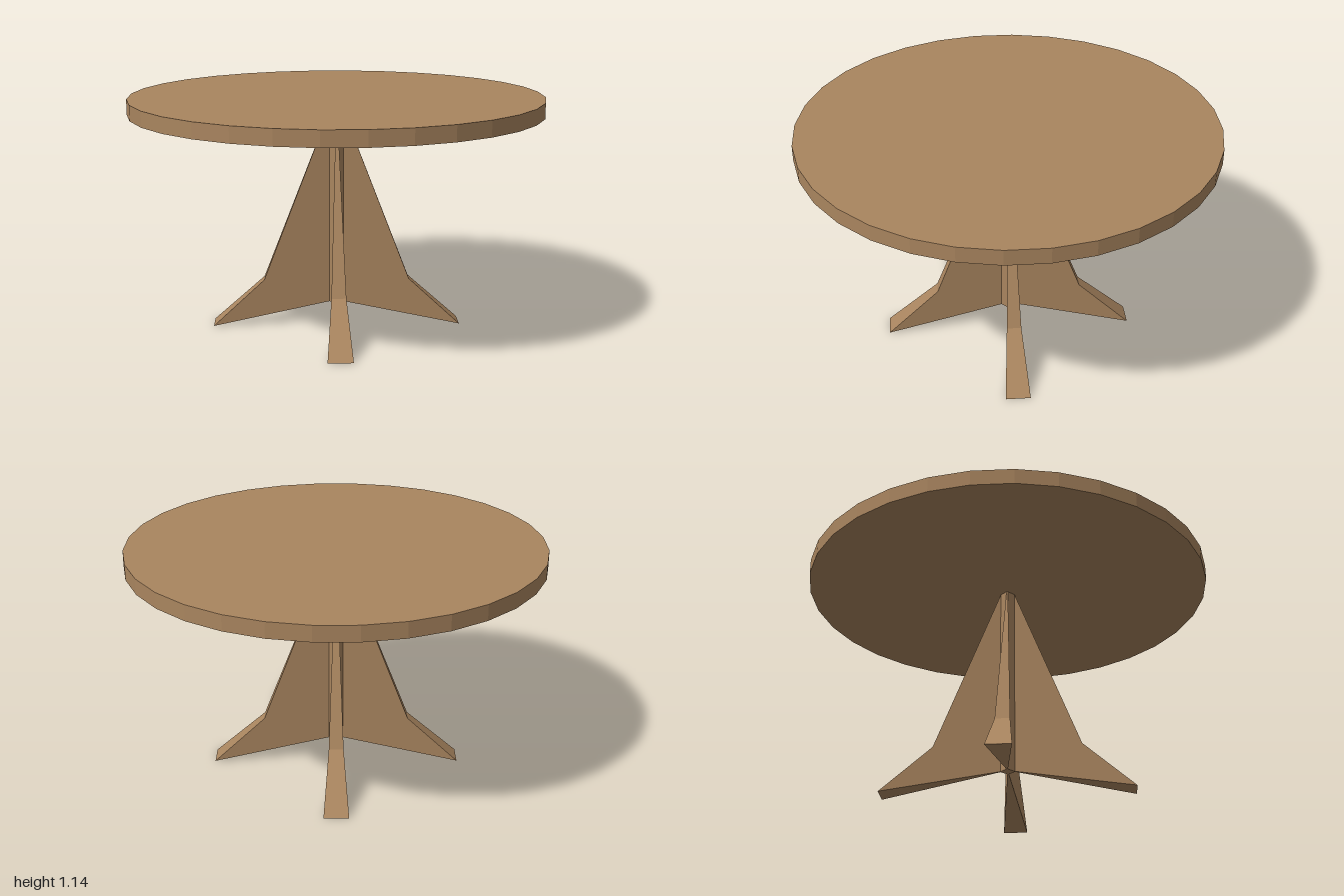
import * as THREE from 'three';

const SIDES = 32;
const STEP = (Math.PI * 2) / SIDES;
const TOP_Y = 1.14;
const UNDER_Y = 1.065;
const POST_R = 0.035;
const POST_Y = 0.105;

// Wedge-shaped fin: a radial profile swept through one step of the circle
function legGeometry() {
  const profile = new THREE.Shape([
    [POST_R, UNDER_Y], [POST_R, POST_Y], [0.613, 0], [0.36, 0.228],
  ].map(([r, y]) => new THREE.Vector2(r, y)));
  const geo = new THREE.ExtrudeGeometry(profile, { depth: 1, bevelEnabled: false });
  const p = geo.attributes.position;
  for (let i = 0; i < p.count; i++) {
    const r = p.getX(i);
    const a = STEP * (1 - p.getZ(i));
    p.setXYZ(i, r * Math.sin(a), p.getY(i), r * Math.cos(a));
  }
  geo.computeVertexNormals();
  return geo;
}

// Slim post whose narrow faces sit behind the four legs
function postGeometry() {
  const points = [];
  for (let i = 0; i < 4; i++) {
    for (const a of [i * Math.PI / 2, i * Math.PI / 2 + STEP]) {
      points.push(new THREE.Vector2(POST_R * Math.sin(a), -POST_R * Math.cos(a)));
    }
  }
  const geo = new THREE.ExtrudeGeometry(new THREE.Shape(points), {
    depth: UNDER_Y - POST_Y, bevelEnabled: false,
  });
  geo.rotateX(-Math.PI / 2);
  geo.translate(0, POST_Y, 0);
  return geo;
}

export function createModel() {
  const wood = new THREE.MeshStandardMaterial({ color: 0xa9855f, flatShading: true });
  wood.name = 'wood';
  const table = new THREE.Group();
  table.name = 'roundTable';

  const add = (name, geo) => {
    const mesh = new THREE.Mesh(geo, wood);
    mesh.name = name;
    table.add(mesh);
    return mesh;
  };

  // Round top
  add('tableTop', new THREE.CylinderGeometry(1, 1, TOP_Y - UNDER_Y, SIDES))
    .position.y = (TOP_Y + UNDER_Y) / 2;

  // Pedestal with four splayed legs
  add('post', postGeometry());
  const leg = legGeometry();
  ['frontLeg', 'leftLeg', 'backLeg', 'rightLeg'].forEach((name, i) => {
    add(name, leg).rotation.y = i * Math.PI / 2;
  });

  return table;
}
